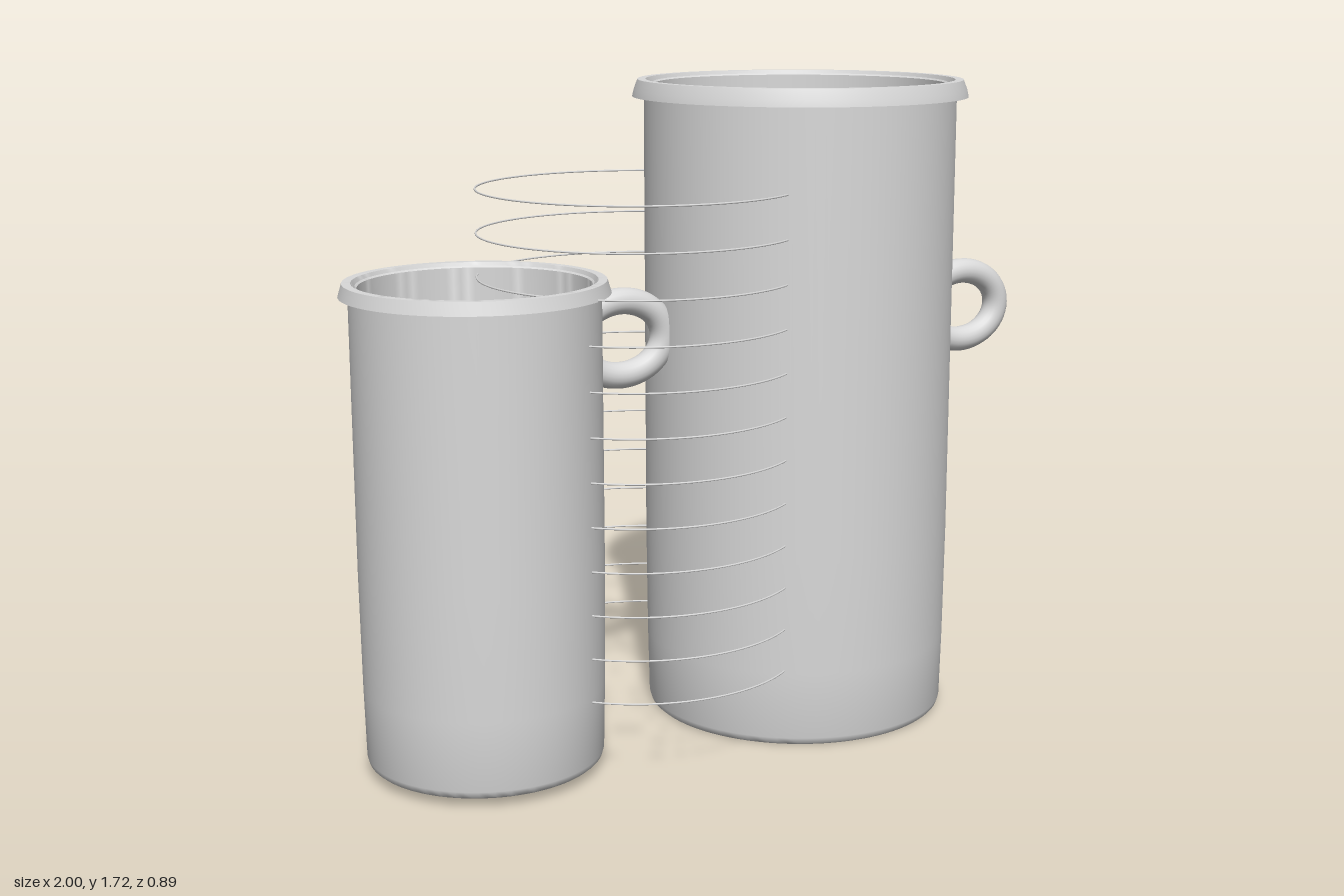
import * as THREE from 'three';
import { toCreasedNormals } from 'three/addons/utils/BufferGeometryUtils.js';

const steel = new THREE.MeshStandardMaterial({ color: 0xd9d9d9 });
steel.name = 'plain light grey';

// Revolved open canister: recessed base, rounded foot, wall, flared rim, inner wall, floor
function canister(name, r, y0, y1, rimOut, rimTop, rimH, inner, recess, floor) {
  const profile = [
    [0, y0 + 0.04], [recess, y0 + 0.04], [recess + 0.012, y0 + 0.004], [recess + 0.018, y0],
    [r - 0.018, y0], [r - 0.011, y0 + 0.006], [r - 0.007, y0 + 0.02],
    [r - 0.003, y0 + 0.2], [r, y0 + 0.5], [r, y1 - rimH],
    [rimOut, y1 - rimH], [rimOut - 0.004, y1 - rimH * 0.6], [rimTop, y1],
    [rimTop - 0.022, y1], [rimTop - 0.03, y1 - 0.02], [inner + 0.008, y1 - 0.02],
    [inner + 0.005, y1 - 0.008], [inner, y1 - 0.012],
    [inner, y0 + 0.055], [floor, y0 + 0.055], [floor - 0.002, y0 + 0.06], [0, y0 + 0.06],
  ].map(([x, y]) => new THREE.Vector2(x, y));
  const geometry = toCreasedNormals(new THREE.LatheGeometry(profile, 96), 0.8);
  const mesh = new THREE.Mesh(geometry, steel);
  mesh.name = name;
  return mesh;
}

// Oval loop of round bar, standing in the x-y plane
class Oval extends THREE.Curve {
  constructor(rx, ry) {
    super();
    this.rx = rx;
    this.ry = ry;
  }
  getPoint(t, target = new THREE.Vector3()) {
    const a = t * Math.PI * 2;
    return target.set(this.rx * Math.cos(a), this.ry * Math.sin(a), 0);
  }
}

export function createModel() {
  const model = new THREE.Group();
  model.name = 'canisters';

  // Two canisters
  const large = canister('largeCanister', 0.415, 0, 1.72, 0.446, 0.432, 0.045, 0.386, 0.365, 0.365);
  large.position.set(0.3, 0, 0);
  const small = canister('smallCanister', 0.311, 0.024, 1.26, 0.335, 0.325, 0.033, 0.288, 0.255, 0.284);
  small.position.set(-0.665, 0, 0.057);
  model.add(large, small);

  // Oval handles on both sides of the large canister
  const handleGeometry = new THREE.TubeGeometry(new Oval(0.125, 0.098), 64, 0.035, 20, true);
  for (const [name, x] of [['leftHandle', 0.84], ['rightHandle', -0.24]]) {
    const handle = new THREE.Mesh(handleGeometry, steel);
    handle.name = name;
    handle.position.set(x, 1.067, 0);
    model.add(handle);
  }

  // Stack of thin wire hoops
  const hoops = new THREE.Group();
  hoops.name = 'wireHoops';
  const hoopGeometry = new THREE.TorusGeometry(0.418, 0.0025, 8, 96);
  hoopGeometry.rotateX(Math.PI / 2);
  for (let i = 0; i < 12; i++) {
    const hoop = new THREE.Mesh(hoopGeometry, steel);
    hoop.name = 'hoop' + (i + 1);
    hoop.position.set(-0.185, 0.208 + i * 0.1136, 0);
    hoops.add(hoop);
  }
  model.add(hoops);
  return model;
}
